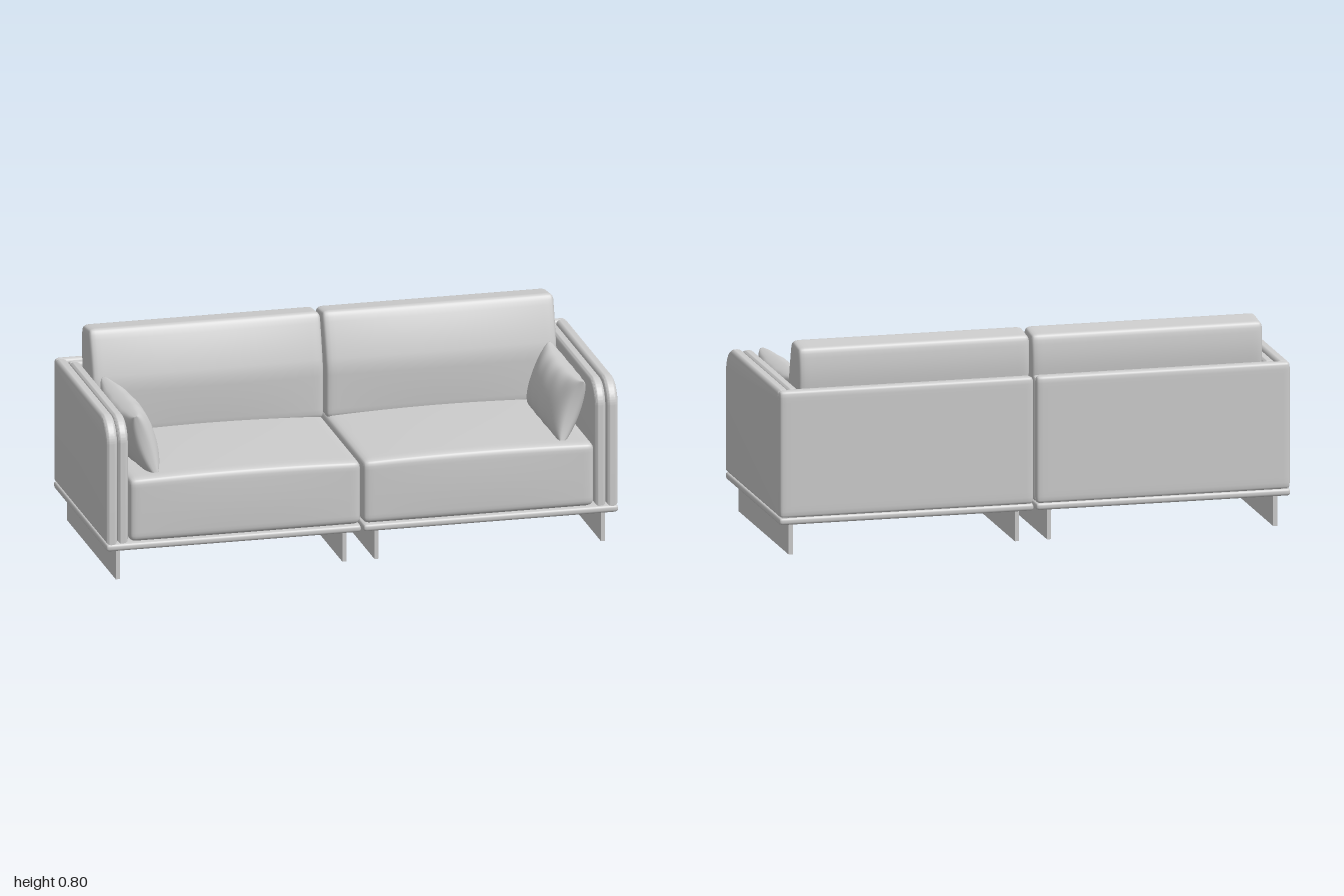
import * as THREE from 'three';
import { mergeVertices, toCreasedNormals } from 'three/addons/utils/BufferGeometryUtils.js';

const fabric = new THREE.MeshStandardMaterial({ color: 0xcccccc });
fabric.name = 'light grey';

// Run a rule on every vertex, then weld and smooth
function shapeBy(geometry, rule) {
  const p = geometry.attributes.position;
  const v = new THREE.Vector3();
  for (let i = 0; i < p.count; i++) {
    v.fromBufferAttribute(p, i);
    rule(v);
    p.setXYZ(i, v.x, v.y, v.z);
  }
  geometry.deleteAttribute('normal');
  geometry.deleteAttribute('uv');
  const welded = mergeVertices(geometry, 1e-5);
  welded.computeVertexNormals();
  return welded;
}

const ease = (t) => Math.sin((t * Math.PI) / 2);

// Rounded box with grid lines gathered at its edges, plus an optional extra rule
function softBox(w, h, d, r, rule = () => {}) {
  const half = new THREE.Vector3(w / 2, h / 2, d / 2);
  const core = half.clone().subScalar(r);
  const low = core.clone().negate();
  return shapeBy(new THREE.BoxGeometry(2, 2, 2, 28, 20, 20), (v) => {
    v.set(ease(v.x), ease(v.y), ease(v.z)).multiply(half);
    const inner = v.clone().clamp(low, core);
    v.sub(inner).setLength(r).add(inner);
    rule(v);
  });
}

// Upright arm panel: big round at the top front, small one at the top back
function armPanel(width, zBack, zFront, y0, y1, rFront, bevel) {
  const a = zBack + bevel, b = zFront - bevel, c = y0 + bevel, d = y1 - bevel;
  const rf = rFront - bevel, rb = 0.02;
  const s = new THREE.Shape();
  s.moveTo(a, c);
  s.lineTo(b, c);
  s.lineTo(b, d - rf);
  s.absarc(b - rf, d - rf, rf, 0, Math.PI / 2, false);
  s.lineTo(a + rb, d);
  s.absarc(a + rb, d - rb, rb, Math.PI / 2, Math.PI, false);
  s.closePath();
  const depth = width - 2 * bevel;
  const g = new THREE.ExtrudeGeometry(s, {
    depth, bevelThickness: bevel, bevelSize: bevel, bevelSegments: 6, curveSegments: 16,
  });
  g.translate(0, 0, -depth / 2);
  g.rotateY(-Math.PI / 2);
  return toCreasedNormals(g, 0.7);
}

// Plump cushion pinched at its rim, with faint creases
function pillowGeometry(thick, high, wide) {
  return shapeBy(new THREE.BoxGeometry(2, 2, 2, 1, 24, 36), (v) => {
    const side = Math.sign(v.x), u = ease(v.y), w = ease(v.z);
    const puff = Math.pow(Math.max(0, (1 - u * u) * (1 - w * w)), 0.4);
    const crease = 0.004 * Math.sin(w * 13 + u * 3) * u * u * puff;
    v.x = side * (0.005 + thick * puff + crease);
    v.y = u * high * (1 - 0.07 * (1 - w * w) * u * u);
    v.z = w * wide * (1 - 0.05 * (1 - u * u) * w * w);
  });
}

export function createModel() {
  const sofa = new THREE.Group();
  sofa.name = 'sofa';

  const base = softBox(0.996, 0.03, 0.82, 0.013);
  const outerArm = armPanel(0.046, -0.405, 0.408, 0.148, 0.643, 0.1, 0.019);
  const innerArm = armPanel(0.043, -0.37, 0.4, 0.148, 0.638, 0.095, 0.018);
  const outerBack = softBox(0.994, 0.495, 0.038, 0.018);
  const innerBack = softBox(0.95, 0.488, 0.034, 0.015);

  // Seat with a crowned top and slightly full front
  const seat = softBox(0.903, 0.25, 0.745, 0.025, (v) => {
    const cx = 1 - (v.x / 0.4515) ** 2, cz = 1 - (v.z / 0.3725) ** 2;
    if (v.y > 0) v.y += 0.016 * cx * (0.6 + 0.4 * cz) * (v.y / 0.125);
    if (v.z > 0.3) v.z += 0.006 * cx * (1 - (v.y / 0.15) ** 2);
  });

  // Backrest cushion: front face leans back above its middle, top falls to the rear
  const backCushion = softBox(0.903, 0.41, 0.175, 0.022, (v) => {
    const front = (v.z + 0.0875) / 0.175;
    const rise = Math.max(0, v.y);
    const cx = 1 - (v.x / 0.4515) ** 2;
    v.z -= front * (rise * 0.2 + rise * rise * 0.45);
    v.z -= (1 - front) * 0.008 * Math.sin(Math.min(1, rise / 0.2) * Math.PI);
    v.z += front * 0.01 * cx * Math.max(0, 1 - (v.y / 0.205) ** 2);
    v.y -= (1 - front) * 0.013 * (rise / 0.205);
  });

  const pillow = pillowGeometry(0.066, 0.125, 0.25);
  const leg = new THREE.BoxGeometry(0.016, 0.125, 0.75);

  for (const [side, label] of [[1, 'left'], [-1, 'right']]) {
    const half = new THREE.Group();
    half.name = label + 'Half';
    const add = (name, geometry, x, y, z) => {
      const mesh = new THREE.Mesh(geometry, fabric);
      mesh.name = name;
      mesh.position.set(side * x, y, z);
      half.add(mesh);
      return mesh;
    };
    add('basePlate', base, 0.502, 0.136, 0);
    add('outerArm', outerArm, 0.977, 0, 0);
    add('innerArm', innerArm, 0.932, 0, 0);
    add('outerBack', outerBack, 0.502, 0.3945, -0.391);
    add('innerBack', innerBack, 0.479, 0.392, -0.357);
    add('seat', seat, 0.4555, 0.275, 0.03);
    add('backCushion', backCushion, 0.4555, 0.595, -0.2525);
    add('outerLeg', leg, 0.947, 0.0625, 0);
    add('innerLeg', leg, 0.063, 0.0625, 0);
    // Pillow leans its top against the arm
    add('pillow', pillow, 0.832, 0.516, 0.105).rotation.z = -side * 0.33;
    sofa.add(half);
  }
  return sofa;
}
